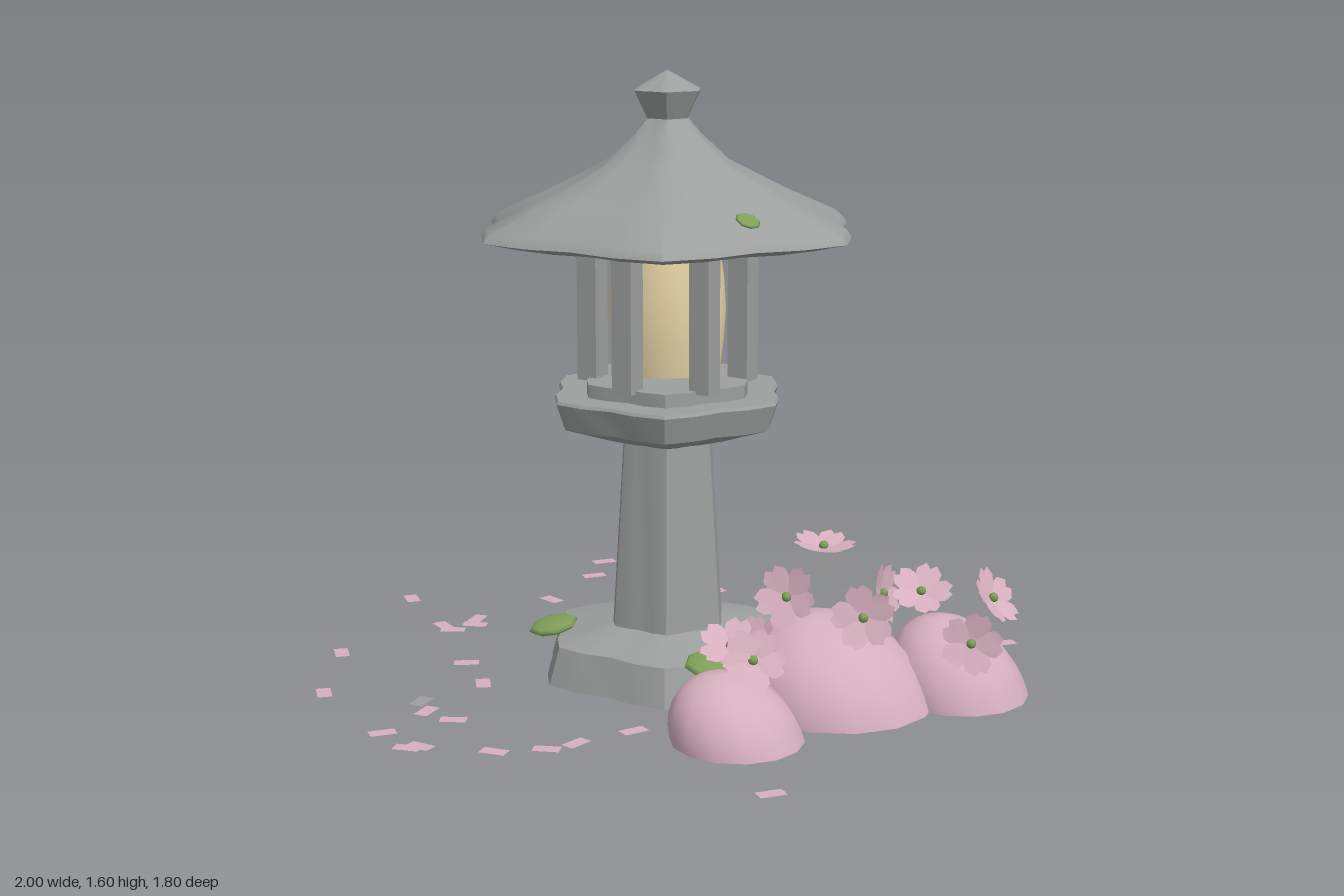
import * as THREE from 'three';
import { mergeGeometries, toCreasedNormals } from 'three/addons/utils/BufferGeometryUtils.js';

const mat = (name, color, side = THREE.DoubleSide) => {
  const m = new THREE.MeshStandardMaterial({ color, side });
  m.name = name;
  return m;
};

export function createModel() {
  const stone = mat('stone', 0x9b9f9e);
  const pink = mat('blossom pink', 0xd6afbf);
  const moss = mat('moss green', 0x7f9f58);
  const paper = mat('lamp paper', 0xe6d4a6);

  const root = new THREE.Group();
  root.name = 'stoneLanternGarden';
  const lantern = new THREE.Group();
  lantern.name = 'lantern';
  lantern.position.set(-0.034, 0, -0.015);
  root.add(lantern);

  const add = (parent, name, geo, material, x = 0, y = 0, z = 0) => {
    const m = new THREE.Mesh(geo, material);
    m.name = name;
    m.position.set(x, y, z);
    parent.add(m);
    return m;
  };

  // Turned profile whose radius swells six times around, making soft hexagons
  const lobed = (profile, wave = 0.075) => {
    const geo = new THREE.LatheGeometry(profile.map(([r, y]) => new THREE.Vector2(r, y)), 24);
    const p = geo.attributes.position;
    for (let i = 0; i < p.count; i++) {
      const x = p.getX(i), z = p.getZ(i);
      const k = 1 + wave * Math.cos(6 * Math.atan2(z, x));
      p.setX(i, x * k);
      p.setZ(i, z * k);
    }
    return toCreasedNormals(geo, 0.6);
  };

  // Hollow foot flowing into the tapered shaft
  add(lantern, 'base', lobed([[0.33, 0], [0.302, 0.1], [0.15, 0.135]]), stone);
  add(lantern, 'shaft', lobed([[0.15, 0.13], [0.119, 0.64]]), stone);
  add(lantern, 'platform', lobed([
    [0.119, 0.63], [0.16, 0.642], [0.28, 0.685], [0.303, 0.755], [0.298, 0.763], [0, 0.763],
  ]), stone);
  add(lantern, 'platformStep', lobed([[0.217, 0.762], [0.217, 0.798], [0, 0.8]]), stone);

  // Lamp and its six posts
  add(lantern, 'lamp', lobed([
    [0, 0.82], [0.138, 0.82], [0.148, 0.9], [0.153, 0.98], [0.148, 1.06], [0.138, 1.136], [0, 1.136],
  ], 0), paper);
  for (let i = 0; i < 6; i++) {
    const a = Math.PI / 6 + i * Math.PI / 3;
    add(lantern, 'post', new THREE.BoxGeometry(0.058, 0.385, 0.058), stone,
      0.197 * Math.cos(a), 0.982, 0.197 * Math.sin(a));
  }

  // Flared roof with its finial
  add(lantern, 'roof', lobed([
    [0, 1.165], [0.4, 1.165], [0.488, 1.188], [0.476, 1.206], [0.33, 1.275], [0.17, 1.36],
    [0.09, 1.435], [0.054, 1.478],
  ]), stone);
  add(lantern, 'finial', lobed([[0.054, 1.478], [0.088, 1.55], [0, 1.6]]), stone);

  // Moss cushions: position, radius, tilt about x and z
  [
    [-0.3, 0.11, 0.14, 0.068, 0.15, 0.15],
    [0.21, 0.1, 0.17, 0.072, 0.15, -0.1],
    [0.305, 1.257, 0.16, 0.033, 0.2, -0.45],
    [-0.21, 1.33, -0.285, 0.062, -0.35, 0.3],
  ].forEach(([x, y, z, r, rx, rz]) => {
    const m = add(root, 'mossPatch', new THREE.SphereGeometry(r, 8, 6), moss, x, y, z);
    m.scale.y = 0.25;
    m.rotation.set(rx, 0, rz);
  });

  // Shrub mounds: leaning open domes
  [
    [0.585, 0.08, 0.19, 0.243, 0.217],
    [0.82, 0.078, -0.018, 0.175, 0.195],
    [0.488, 0.063, 0.52, 0.163, 0.16],
  ].forEach(([x, y, z, r, h]) => {
    const geo = new THREE.SphereGeometry(1, 14, 8, 0, Math.PI * 2, 0, Math.PI / 2);
    geo.scale(r, h, r);
    const p = geo.attributes.position;
    for (let i = 0; i < p.count; i++) p.setX(i, p.getX(i) - 0.28 * p.getY(i));
    geo.computeVertexNormals();
    add(root, 'shrub', geo, pink, x, y, z);
  });

  // Five notched petals, cupped towards +z
  const petal = new THREE.Shape();
  petal.moveTo(0, 0);
  petal.quadraticCurveTo(0.036, 0.03, 0.032, 0.06);
  petal.lineTo(0.014, 0.078);
  petal.lineTo(0, 0.068);
  petal.lineTo(-0.014, 0.078);
  petal.lineTo(-0.032, 0.06);
  petal.quadraticCurveTo(-0.036, 0.03, 0, 0);
  const petals = [];
  for (let i = 0; i < 5; i++) {
    petals.push(new THREE.ShapeGeometry(petal, 4).rotateZ(i * Math.PI * 2 / 5));
  }
  const blossom = mergeGeometries(petals);
  const bp = blossom.attributes.position;
  for (let i = 0; i < bp.count; i++) {
    bp.setZ(i, 3 * (bp.getX(i) ** 2 + bp.getY(i) ** 2));
  }
  blossom.computeVertexNormals();
  const heart = new THREE.SphereGeometry(0.012, 8, 6);

  // Flowers: position and facing direction
  [
    [0.555, 0.475, 0.215, 0.1, 1, 0.05],
    [0.567, 0.405, 0.42, 0.1, 0.45, 1],
    [0.515, 0.305, 0.52, -0.2, 0.7, 0.5],
    [0.56, 0.29, 0.575, 0.6, 0.5, 0.6],
    [0.745, 0.37, 0.37, 0.45, 0.3, 1],
    [0.915, 0.265, 0.125, 0.5, 0.25, 1],
    [0.905, 0.34, -0.015, 0.8, 0.6, 0],
    [0.72, 0.33, -0.0, 0.3, 0.8, 0.5],
    [0.61, 0.31, 0.0, 1, 0.2, -0.1],
    [0.51, 0.32, 0.59, 0.2, 1, 0.5],
  ].forEach(([x, y, z, nx, ny, nz], i) => {
    const flower = new THREE.Group();
    flower.name = 'flower';
    flower.position.set(x, y, z);
    flower.quaternion.setFromUnitVectors(
      new THREE.Vector3(0, 0, 1), new THREE.Vector3(nx, ny, nz).normalize());
    flower.rotateZ(i * 0.7);
    add(flower, 'petals', blossom, pink);
    add(flower, 'flowerHeart', heart, moss, 0, 0, 0.006);
    root.add(flower);
  });

  // Fallen petals lying on the ground: x, z, turn
  const leaf = new THREE.PlaneGeometry(0.068, 0.038).rotateX(-Math.PI / 2);
  const scatter = (name, material, list) => list.forEach(([x, z, turn]) => {
    add(root, name, leaf, material, x, 0.01, z).rotation.y = turn;
  });
  scatter('fallenPetal', pink, [
    [-0.69, -0.71, 0.9], [-0.635, -0.57, 0.9], [-0.27, -0.64, 0], [-0.245, -0.62, 1.1],
    [0.03, -0.65, -0.6], [0.11, -0.535, 1.4], [0.68, -0.625, 0.9], [-0.61, -0.305, -0.3],
    [-0.965, -0.1, -0.7], [-0.69, -0.045, 1.8], [-0.665, 0, 0.4], [-0.735, 0.055, -0.5],
    [-0.69, 0.07, 0.5], [-0.49, 0.28, 0.6], [-0.83, 0.39, -0.8], [-0.355, 0.39, -0.9],
    [-0.355, 0.635, 1.7], [-0.26, 0.65, 0.5], [-0.665, 0.665, -0.8], [-0.355, 0.815, 0.9],
    [-0.24, 0.865, 0.3], [-0.22, 0.84, 0], [-0.045, 0.775, 0.2], [0.055, 0.695, 0.4],
    [0.095, 0.625, 1.4], [0.17, 0.48, 1.1], [0.66, 0.66, 0.9], [0.49, -0.215, 0.8],
  ]);
  scatter('stoneChip', stone, [[0.17, -0.57, 1], [0.295, -0.89, 0.05], [-0.41, 0.585, 1.7]]);

  return root;
}
